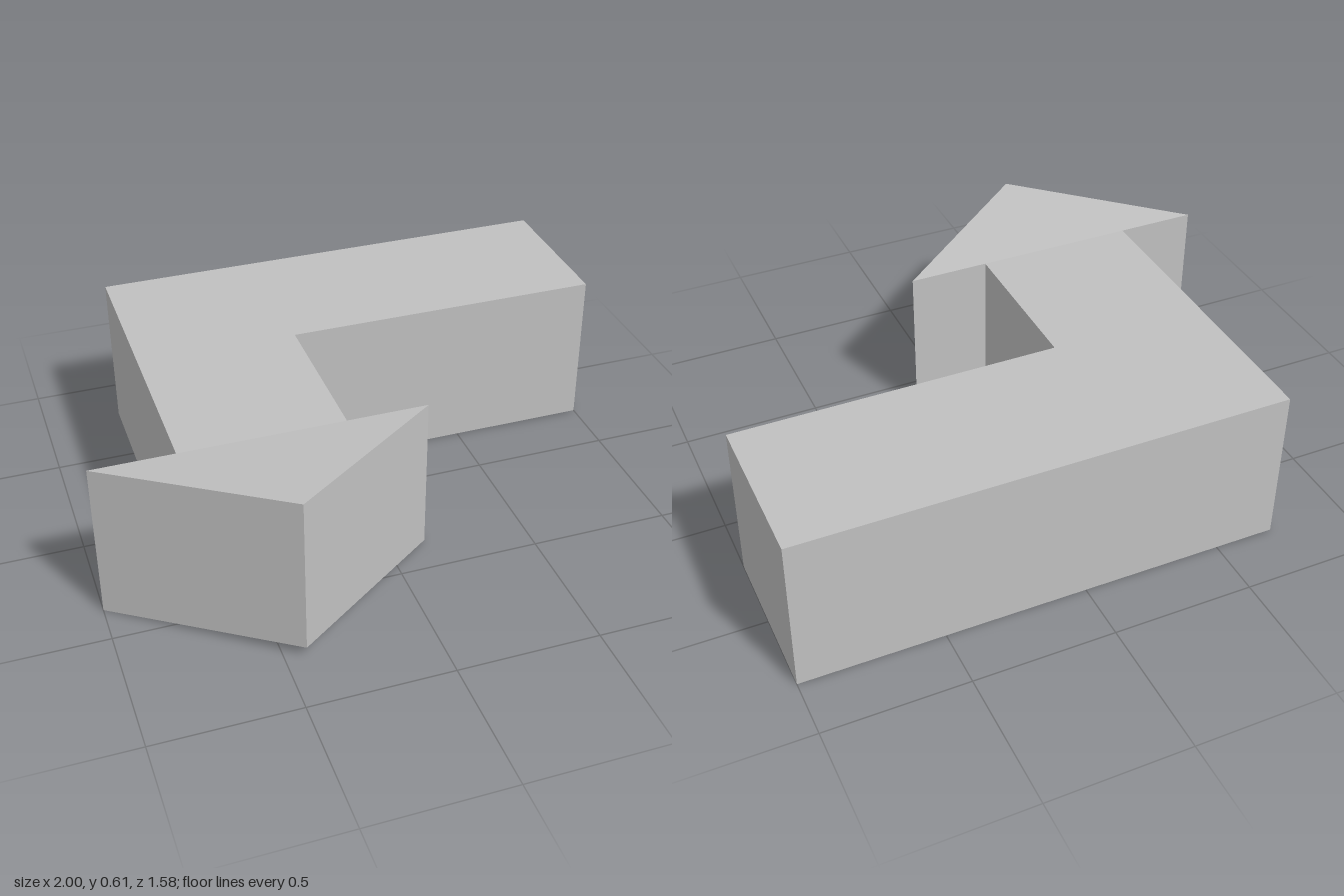
import * as THREE from 'three';

const HEIGHT = 0.57;

// Extrudes an outline of [x, z] points upwards from y = 0
function slab(outline, material, name) {
  const shape = new THREE.Shape(outline.map(([x, z]) => new THREE.Vector2(x, -z)));
  const geometry = new THREE.ExtrudeGeometry(shape, { depth: HEIGHT, bevelEnabled: false });
  geometry.rotateX(-Math.PI / 2);
  const mesh = new THREE.Mesh(geometry, material);
  mesh.name = name;
  return mesh;
}

export function createModel() {
  const group = new THREE.Group();
  group.name = 'bentArrow';
  const grey = new THREE.MeshStandardMaterial({ color: 0xc0c0c0 });
  grey.name = 'light grey';

  // L-shaped shaft
  const shaft = slab([
    [-0.715, 0.353], [-0.146, 0.353], [-0.146, -0.223],
    [1, -0.223], [1, -0.79], [-0.715, -0.79],
  ], grey, 'shaft');

  // Triangular head, its tip raised slightly
  const head = slab([[-1, 0.353], [-0.43, 0.79], [0.14, 0.353]], grey, 'arrowHead');
  const position = head.geometry.attributes.position;
  for (let i = 0; i < position.count; i++) {
    if (position.getZ(i) > 0.7) position.setY(i, position.getY(i) + 0.042);
  }
  head.geometry.computeVertexNormals();

  group.add(shaft, head);
  return group;
}
